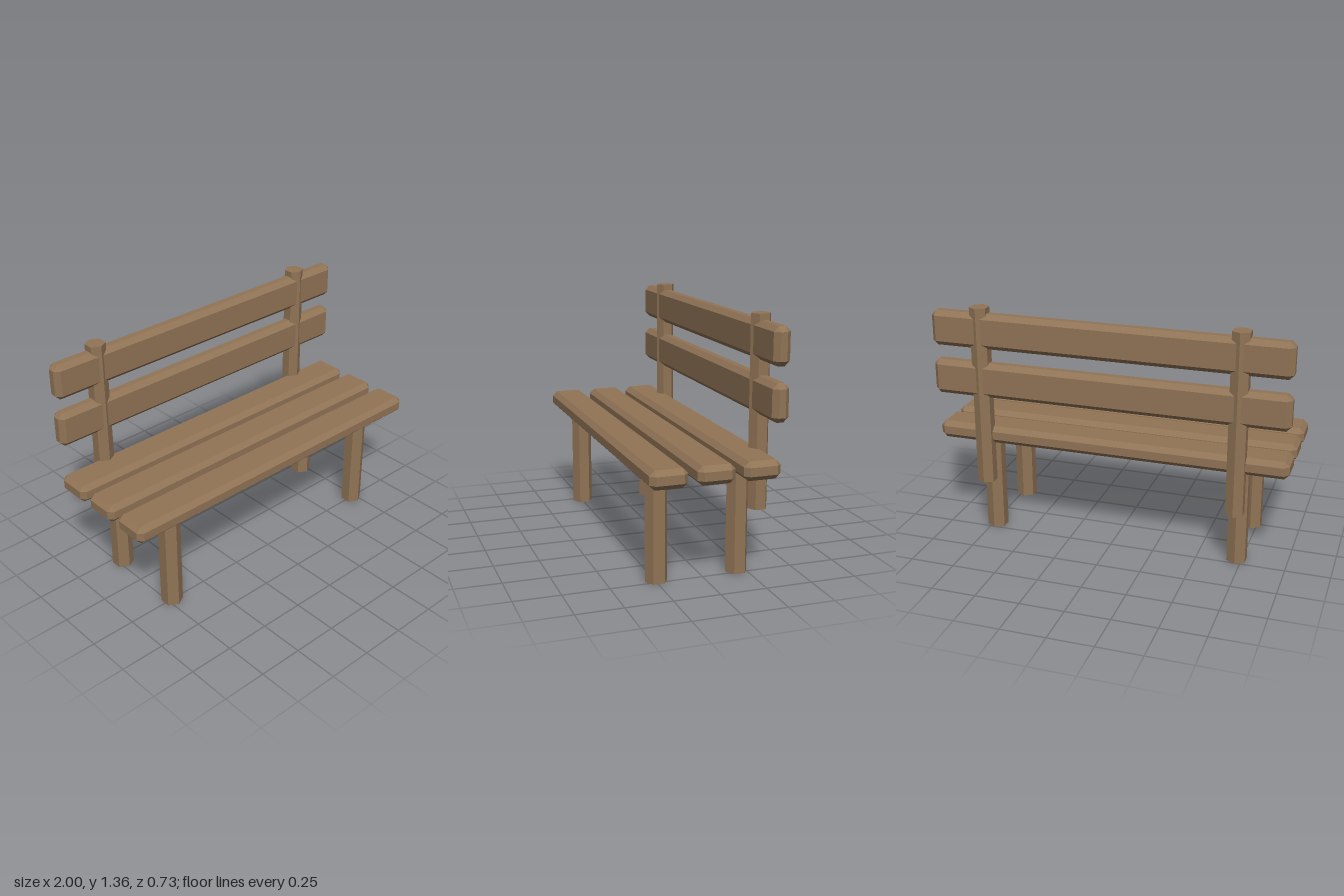
import * as THREE from 'three';
import { ConvexGeometry } from 'three/addons/geometries/ConvexGeometry.js';

// Box with every edge bevelled by c
function chamferedBox(w, h, d, c) {
  const points = [];
  for (const sx of [-1, 1]) for (const sy of [-1, 1]) for (const sz of [-1, 1]) {
    for (let full = 0; full < 3; full++) {
      const [x, y, z] = [w, h, d].map((size, axis) => size / 2 - (axis === full ? 0 : c));
      points.push(new THREE.Vector3(sx * x, sy * y, sz * z));
    }
  }
  return new ConvexGeometry(points);
}

export function createModel() {
  const bench = new THREE.Group();
  bench.name = 'bench';
  const wood = new THREE.MeshStandardMaterial({ color: 0x917456 });
  wood.name = 'brown wood';
  wood.flatShading = true;

  function add(name, geometry, x, y, z) {
    const mesh = new THREE.Mesh(geometry, wood);
    mesh.name = name;
    mesh.position.set(x, y, z);
    bench.add(mesh);
  }

  // Three seat planks
  const seatPlank = chamferedBox(2, 0.1, 0.198, 0.027);
  [['front', 0.267], ['middle', 0.021], ['rear', -0.222]].forEach(([side, z]) =>
    add(side + 'SeatPlank', seatPlank, 0, 0.615, z));

  // Two backrest planks
  const backPlank = chamferedBox(2, 0.198, 0.09, 0.027);
  add('lowerBackPlank', backPlank, 0, 0.947, -0.31);
  add('upperBackPlank', backPlank, 0, 1.227, -0.31);

  // Hexagonal legs and backrest posts, mirrored left and right
  const leg = new THREE.CylinderGeometry(0.06, 0.06, 0.58, 6);
  const post = new THREE.CylinderGeometry(0.055, 0.055, 1.022, 6);
  for (const [side, x] of [['left', 0.722], ['right', -0.722]]) {
    add(side + 'FrontLeg', leg, x, 0.29, 0.246);
    add(side + 'RearLeg', leg, x, 0.29, -0.198);
    add(side + 'BackPost', post, x, 0.848, -0.311);
  }

  return bench;
}
